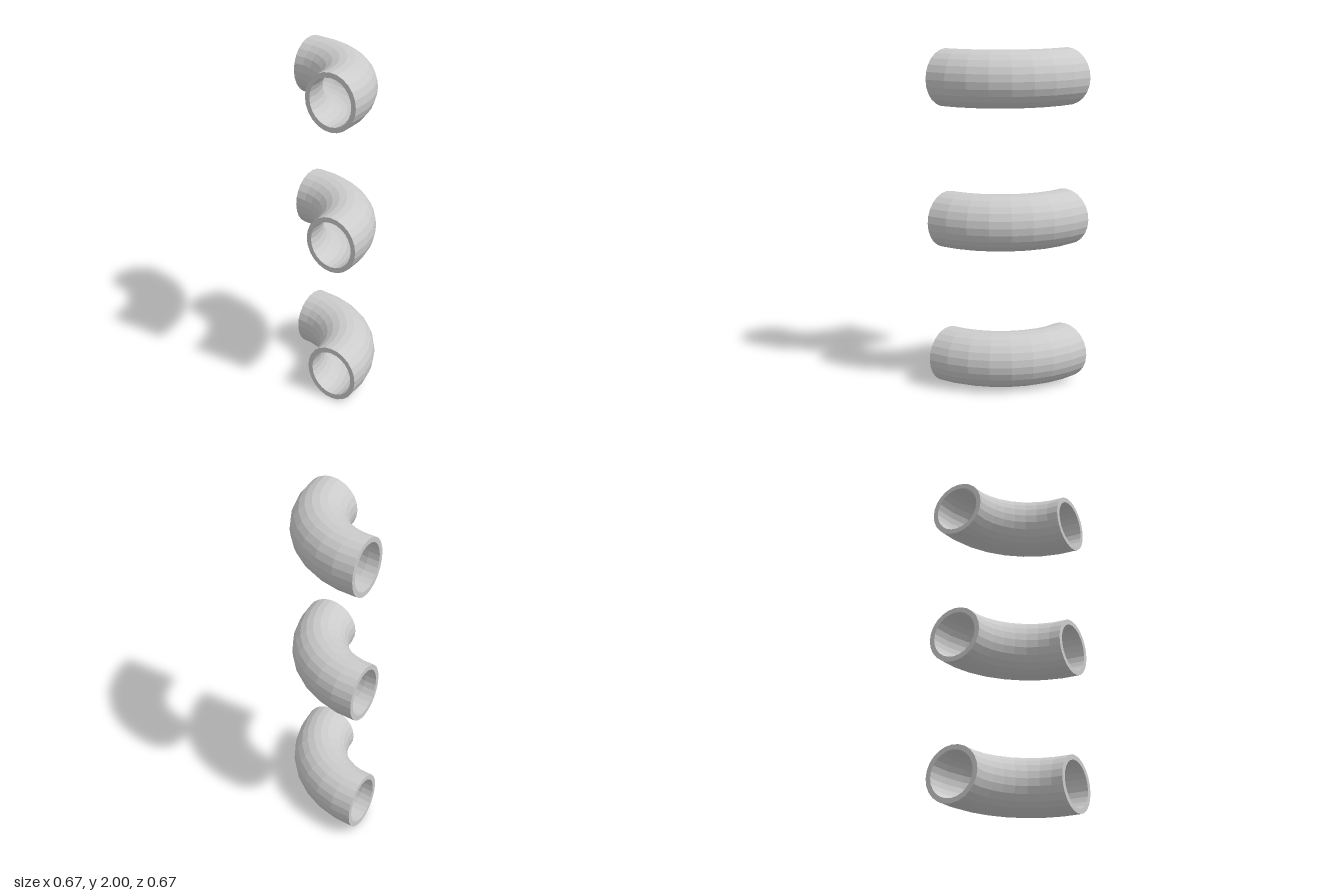
import * as THREE from 'three';

const SIDES = 24, STEPS = 8;
const BEND = 0.5, OUTER = 1 / 6, INNER = 0.137;
const PIVOT = -1 / 3;

// Quarter-turn tube lying flat, sweeping from +x to +z
function bend(radius) {
  return new THREE.TorusGeometry(BEND, radius, SIDES, STEPS, Math.PI / 2).rotateX(Math.PI / 2);
}

export function createModel() {
  const model = new THREE.Group();
  model.name = 'pipeElbows';
  const material = new THREE.MeshStandardMaterial({ color: 0xcccccc, flatShading: true });

  const outer = bend(OUTER);
  // Bore: same sweep with the faces turned inward
  const inner = bend(INNER);
  inner.index.array.reverse();

  // Annular rims closing the wall at both open ends
  const rim = new THREE.RingGeometry(INNER, OUTER, SIDES, 1);
  const backRim = rim.clone().rotateY(Math.PI).translate(BEND, 0, 0);
  const sideRim = rim.clone().rotateY(-Math.PI / 2).translate(0, 0, BEND);

  const parts = { outerWall: outer, innerWall: inner, backRim, sideRim };

  // Three identical elbows stacked with gaps
  ['lower', 'middle', 'upper'].forEach((level, i) => {
    const elbow = new THREE.Group();
    elbow.name = level + 'Elbow';
    for (const [name, geometry] of Object.entries(parts)) {
      const mesh = new THREE.Mesh(geometry, material);
      mesh.name = name;
      elbow.add(mesh);
    }
    elbow.position.set(PIVOT, OUTER + i * 5 / 6, PIVOT);
    model.add(elbow);
  });
  return model;
}
